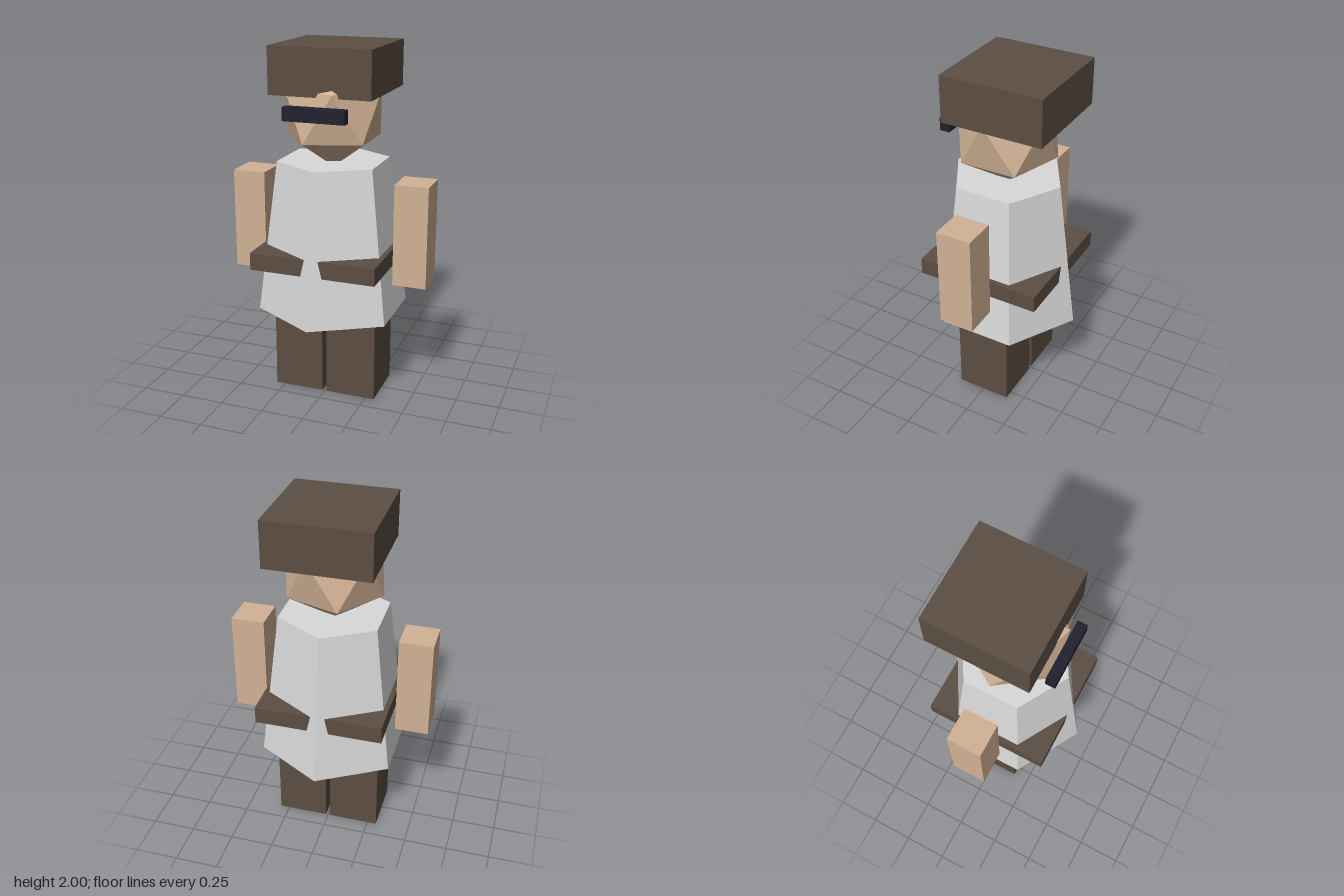
import * as THREE from 'three';
import { ConvexGeometry } from 'three/addons/geometries/ConvexGeometry.js';

const material = (name, color) => {
  const m = new THREE.MeshStandardMaterial({ color, flatShading: true });
  m.name = name;
  return m;
};

// Icosahedron standing on a vertex: two poles and two opposed rings of five
function headGeometry(radius) {
  const points = [new THREE.Vector3(0, radius, 0), new THREE.Vector3(0, -radius, 0)];
  const ringRadius = radius * 2 / Math.sqrt(5);
  const ringHeight = radius / Math.sqrt(5);
  for (let i = 0; i < 5; i++) {
    const a = i * Math.PI * 2 / 5;
    const x = ringRadius * Math.cos(a), z = ringRadius * Math.sin(a);
    points.push(new THREE.Vector3(x, ringHeight, z), new THREE.Vector3(-x, -ringHeight, -z));
  }
  return new ConvexGeometry(points);
}

export function createModel() {
  const model = new THREE.Group();
  model.name = 'blockFigure';

  const skin = material('skin', 0xd2b295);
  const cloth = material('paleCloth', 0xd9d9d9);
  const brown = material('darkBrown', 0x5c4e43);
  const dark = material('darkGlass', 0x222230);

  const add = (name, geometry, mat, x, y, z) => {
    const mesh = new THREE.Mesh(geometry, mat);
    mesh.name = name;
    mesh.position.set(x, y, z);
    model.add(mesh);
  };
  const box = (name, mat, [w, h, d], [x, y, z]) =>
    add(name, new THREE.BoxGeometry(w, h, d), mat, x, y, z);

  // Legs and arms, mirrored
  for (const [side, s] of [['left', 1], ['right', -1]]) {
    box(side + 'Leg', brown, [0.29, 0.52, 0.317], [s * 0.158, 0.26, 0]);
    box(side + 'Arm', skin, [0.19, 0.576, 0.2], [s * 0.477, 0.987, 0]);
  }

  // Six-sided tunic with a corner facing front, poking through the square belt
  add('tunic', new THREE.CylinderGeometry(0.319, 0.434, 0.868, 6), cloth, 0, 0.93, 0);
  box('belt', brown, [0.72, 0.098, 0.72], [0, 0.834, 0]);

  // Head, eye band and hat
  add('head', headGeometry(0.305), skin, 0, 1.627, 0);
  box('eyeBand', dark, [0.348, 0.074, 0.056], [0, 1.66, 0.287]);
  box('hat', brown, [0.578, 0.26, 0.578], [0, 1.87, -0.058]);

  return model;
}
